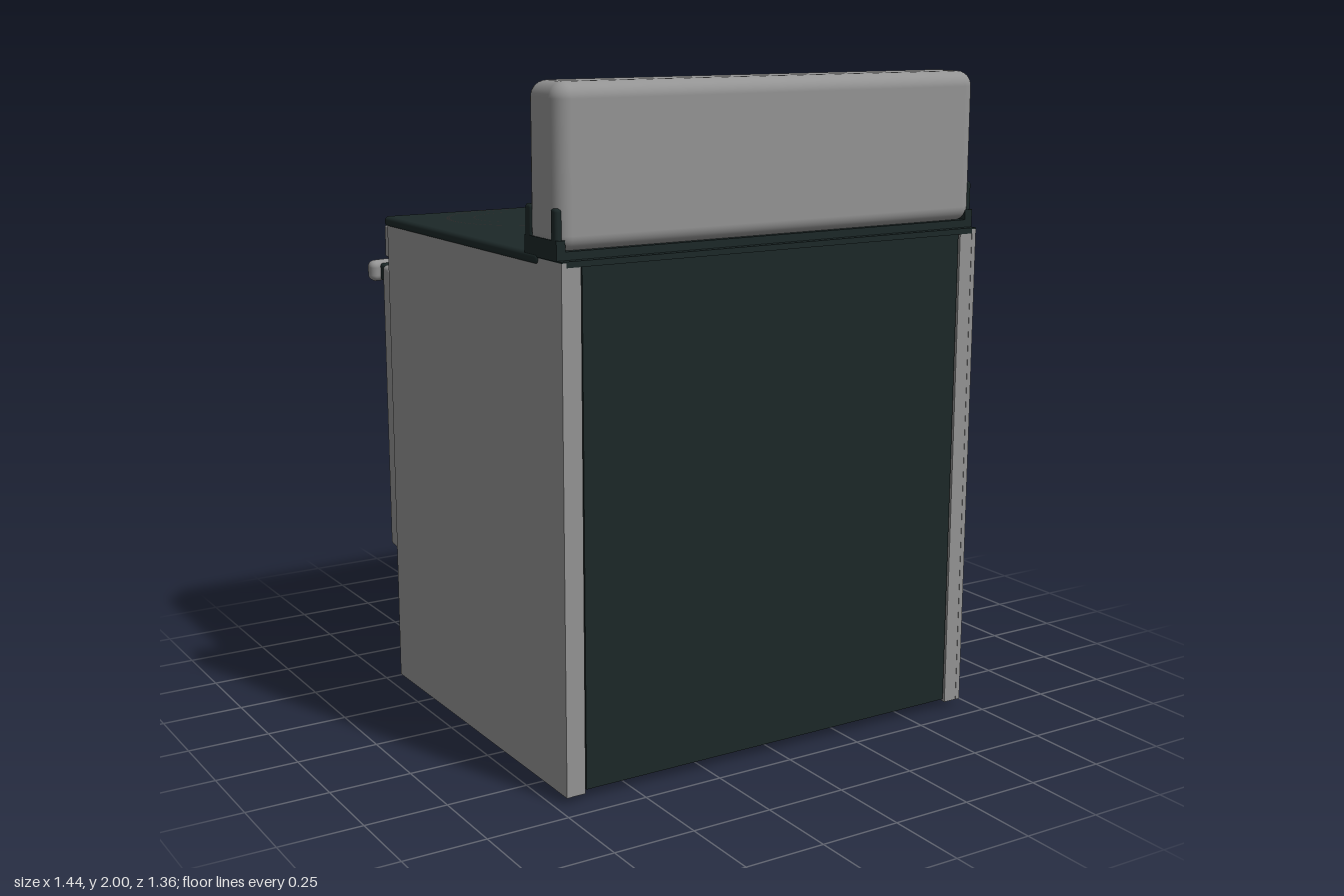
import * as THREE from 'three';
import { RoundedBoxGeometry } from 'three/addons/geometries/RoundedBoxGeometry.js';

const paint = (name, color) => {
  const m = new THREE.MeshStandardMaterial({ color });
  m.name = name;
  return m;
};

export function createModel() {
  const steel = paint('steel grey', 0x949494);
  const dark = paint('dark enamel', 0x1c2828);
  const oven = paint('oven brown', 0x423b35);
  const display = paint('display olive', 0x4a4a40);
  const line = paint('burner line', 0x9a9090);

  const stove = new THREE.Group();
  stove.name = 'stove';

  const add = (name, geometry, material, x = 0, y = 0, z = 0, parent = stove) => {
    const mesh = new THREE.Mesh(geometry, material);
    mesh.name = name;
    mesh.position.set(x, y, z);
    parent.add(mesh);
    return mesh;
  };
  // box given by its minimum and maximum on each axis
  const span = (name, material, [x0, x1], [y0, y1], [z0, z1], radius = 0, parent = stove) => {
    const s = [x1 - x0, y1 - y0, z1 - z0];
    const g = radius ? new RoundedBoxGeometry(...s, 4, radius) : new THREE.BoxGeometry(...s);
    return add(name, g, material, (x0 + x1) / 2, (y0 + y1) / 2, (z0 + z1) / 2, parent);
  };
  const mirrored = (s, a, b) => (s > 0 ? [a, b] : [-b, -a]);

  // Cabinet: thin side walls with folded flanges, feet and backsplash brackets
  for (const s of [1, -1]) {
    span('sidePanel', steel, mirrored(s, 0.7, 0.715), [0.02, 1.528], [-0.46, 0.678]);
    span('frontFlange', steel, mirrored(s, 0.655, 0.701), [0.02, 1.51], [-0.459, -0.44]);
    span('backFlange', steel, mirrored(s, 0.655, 0.701), [0.02, 1.515], [0.66, 0.677]);
    for (const z of [-0.38, 0.53]) {
      add('foot', new THREE.CylinderGeometry(0.045, 0.045, 0.055, 24), dark, s * 0.595, 0.0275, z);
    }
    span('bracketBase', dark, mirrored(s, 0.69, 0.717), [1.53, 1.585], [0.475, 0.655]);
    span('bracketFrontPost', dark, mirrored(s, 0.69, 0.717), [1.53, 1.67], [0.475, 0.51], 0.01);
    span('bracketBackPost', dark, mirrored(s, 0.69, 0.717), [1.53, 1.67], [0.62, 0.65], 0.01);
  }
  span('backPanel', dark, [-0.65, 0.65], [0.03, 1.53], [0.64, 0.674]);
  span('backPanelInner', dark, [-0.7, 0.7], [0.025, 1.52], [0.64, 0.659]);
  span('backPanelLip', dark, [-0.7, 0.7], [0.025, 0.04], [0.6, 0.645]);
  span('ovenBox', oven, [-0.65, 0.65], [0.47, 1.5], [-0.455, 0.62]);

  // Cooktop
  span('cooktop', dark, [-0.72, 0.72], [1.508, 1.54], [-0.478, 0.55], 0.014);
  span('rearLedge', dark, [-0.715, 0.715], [1.515, 1.532], [0.48, 0.678]);
  span('backsplashFoot', dark, [-0.71, 0.71], [1.53, 1.555], [0.48, 0.655]);

  // Burner outlines: x, z, outer radius, inner radius
  const ring = (x, z, r) => {
    const mesh = add('burnerRing', new THREE.RingGeometry(r - 0.0025, r, 72), line, x, 1.5425, z);
    mesh.rotation.x = -Math.PI / 2;
  };
  for (const [x, z, outer, inner] of [
    [-0.388, -0.213, 0.215, 0.132], [0.385, -0.213, 0.204, 0.125],
    [-0.388, 0.273, 0.137, 0], [0.384, 0.272, 0.13, 0],
  ]) {
    ring(x, z, outer);
    ring(x, z, outer - 0.006);
    if (inner) ring(x, z, inner);
  }

  // Backsplash with control display
  span('backsplash', steel, [-0.715, 0.715], [1.55, 2], [0.482, 0.66], 0.045);
  span('backsplashTrim', dark, [-0.7, 0.7], [1.535, 1.66], [0.475, 0.5]);
  span('controlDisplay', display, [-0.36, 0.36], [1.76, 1.912], [0.48, 0.485]);
  const knob = add('controlKnob', new THREE.CylinderGeometry(0.05, 0.05, 0.003, 32), dark, 0, 1.85, 0.479);
  knob.rotation.x = Math.PI / 2;
  knob.scale.z = 0.65;

  // Vent strip above the door
  span('ventStrip', steel, [-0.7, 0.7], [1.405, 1.505], [-0.52, -0.455], 0.006);
  for (let i = 0; i < 58; i++) {
    add('ventSlot', new THREE.BoxGeometry(0.014, 0.05, 0.006), dark, -0.67 + i * 0.0235, 1.468, -0.519);
  }

  // Door, hanging slightly askew with its bottom swung out
  const door = new THREE.Group();
  door.name = 'ovenDoor';
  door.position.set(0.005, 0.905, -0.532);
  door.rotation.set(0.08, -0.016, 0.035);
  stove.add(door);
  span('doorFrame', steel, [-0.695, 0.695], [-0.463, 0.495], [-0.03, 0.03], 0.015, door);
  span('doorWindow', dark, [-0.635, 0.635], [-0.33, 0.42], [-0.039, -0.028], 0, door);
  span('doorLiner', display, [-0.6, 0.6], [-0.38, 0.2], [0.025, 0.085], 0, door);
  span('doorSeal', dark, [-0.61, 0.61], [-0.4, -0.38], [0.025, 0.075], 0, door);

  // Handle on two standoffs
  span('handleBar', steel, [-0.692, 0.692], [0.415, 0.483], [-0.172, -0.125], 0.021, door);
  for (const s of [1, -1]) {
    span('handleStandoff', dark, mirrored(s, 0.62, 0.66), [0.42, 0.475], [-0.14, -0.025], 0.01, door);
  }

  return stove;
}
